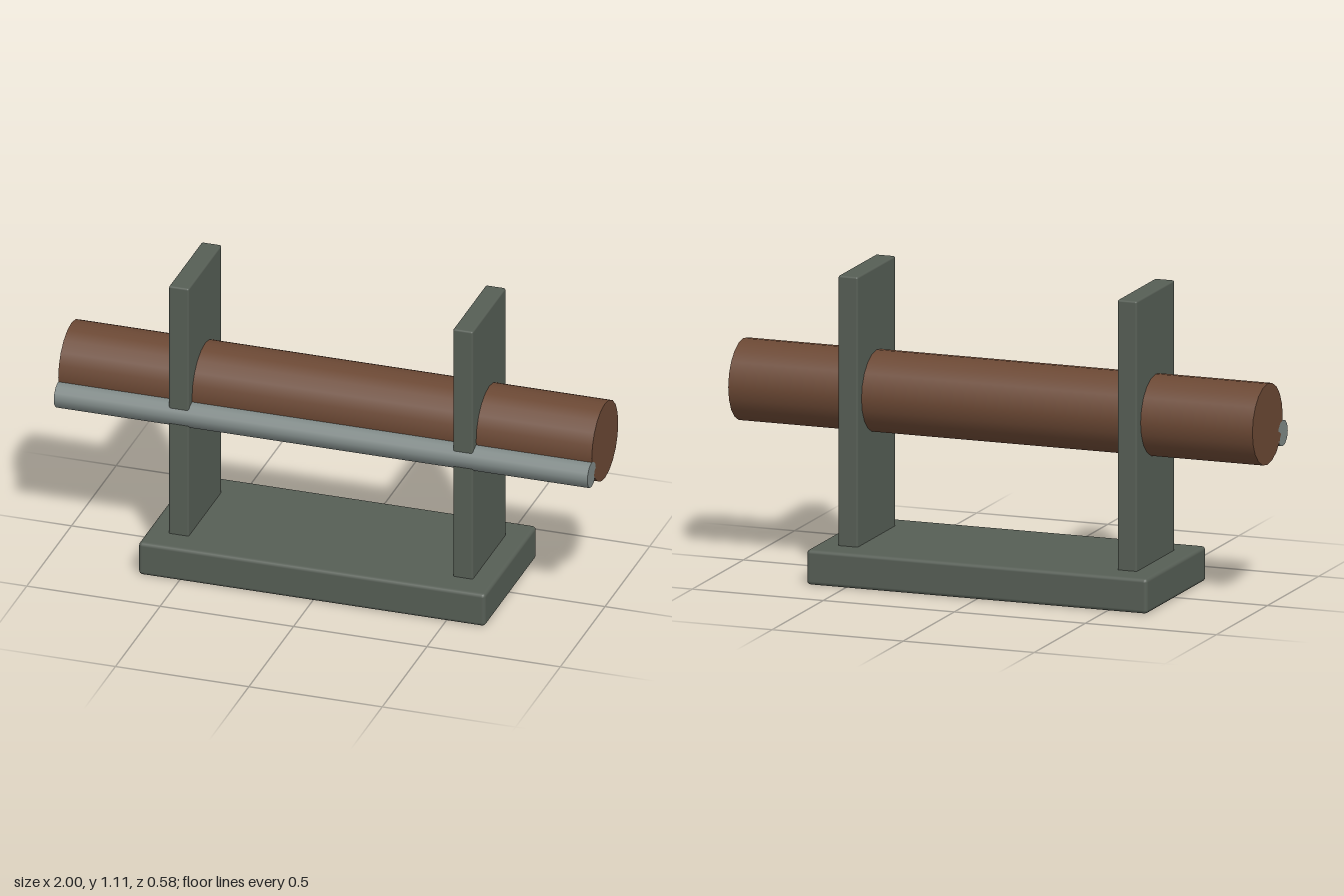
import * as THREE from 'three';
import { RoundedBoxGeometry } from 'three/addons/geometries/RoundedBoxGeometry.js';

const stone = new THREE.MeshStandardMaterial({ color: 0x565e55 });
const wood = new THREE.MeshStandardMaterial({ color: 0x6b4834 });
const metal = new THREE.MeshStandardMaterial({ color: 0x7f8987 });

function add(group, name, geometry, material, x, y, z) {
  const mesh = new THREE.Mesh(geometry, material);
  mesh.name = name;
  mesh.position.set(x, y, z);
  group.add(mesh);
  return mesh;
}

// Cylinder lying along x
function bar(radius, length, sides) {
  return new THREE.CylinderGeometry(radius, radius, length, sides).rotateZ(Math.PI / 2);
}

export function createModel() {
  const group = new THREE.Group();
  group.name = 'rollerStand';

  // Base slab
  add(group, 'base', new RoundedBoxGeometry(1.3, 0.128, 0.58, 2, 0.014), stone, -0.003, 0.064, 0);

  // Two upright plates, sunk slightly into the base
  const upright = new RoundedBoxGeometry(0.075, 1.01, 0.37, 2, 0.007);
  add(group, 'rightUpright', upright, stone, -0.536, 0.607, 0);
  add(group, 'leftUpright', upright, stone, 0.529, 0.607, 0);

  // Wooden roller through both plates, with a thin rod along its front
  add(group, 'roller', bar(0.148, 2, 20), wood, 0, 0.661, 0);
  add(group, 'rod', bar(0.048, 2, 12), metal, 0, 0.597, 0.15);

  return group;
}
